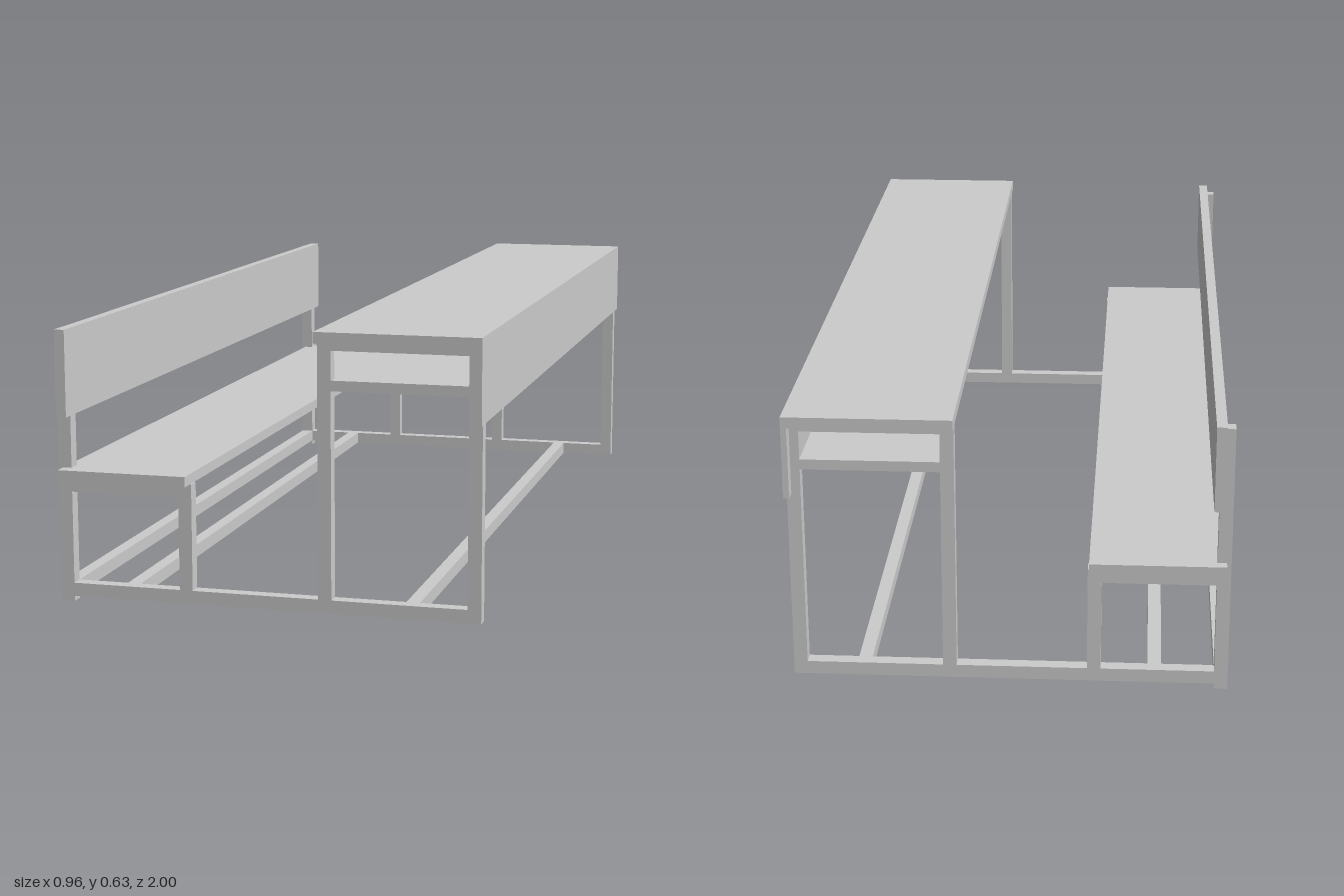
import * as THREE from 'three';

const material = new THREE.MeshStandardMaterial({ color: 0xcccccc, flatShading: true });

// Box given by its extents along each axis
function bar(parent, name, [x0, x1], [y0, y1], [z0, z1]) {
  const mesh = new THREE.Mesh(new THREE.BoxGeometry(x1 - x0, y1 - y0, z1 - z0), material);
  mesh.name = name;
  mesh.position.set((x0 + x1) / 2, (y0 + y1) / 2, (z0 + z1) / 2);
  parent.add(mesh);
}

// One end frame of square tube carrying both the bench and the desk
function endFrame(name, z) {
  const frame = new THREE.Group();
  frame.name = name;
  bar(frame, 'backPost', [-0.481, -0.451], [0, 0.613], z);
  bar(frame, 'seatFrontPost', [-0.202, -0.172], [0.042, 0.25], z);
  bar(frame, 'deskRearPost', [0.115, 0.145], [0.042, 0.605], z);
  bar(frame, 'deskFrontPost', [0.446, 0.476], [0.012, 0.605], z);
  bar(frame, 'floorRail', [-0.451, 0.446], [0.012, 0.042], z);
  bar(frame, 'seatRail', [-0.451, -0.172], [0.25, 0.281], z);
  bar(frame, 'deskRail', [0.145, 0.446], [0.588, 0.605], z);
  return frame;
}

export function createModel() {
  const model = new THREE.Group();
  model.name = 'schoolBenchDesk';

  // End frames
  const nearEnd = [0.92, 0.95], farEnd = [-0.97, -0.94];
  model.add(endFrame('nearEndFrame', nearEnd), endFrame('farEndFrame', farEnd));

  // Long stretchers near the floor
  for (const x of [-0.466, -0.32, 0.32]) {
    bar(model, 'stretcher', [x - 0.015, x + 0.015], [0.012, 0.042], [farEnd[1], nearEnd[0]]);
  }

  // Bench boards
  bar(model, 'seat', [-0.471, -0.175], [0.281, 0.304], [-0.993, 0.982]);
  bar(model, 'backrest', [-0.463, -0.44], [0.426, 0.619], [-0.978, 1]);

  // Desk boards
  bar(model, 'deskTop', [0.114, 0.479], [0.606, 0.631], [-1, 0.977]);
  bar(model, 'frontPanel', [0.466, 0.479], [0.445, 0.606], [-1, 0.977]);
  bar(model, 'shelf', [0.145, 0.446], [0.501, 0.524], [-0.97, 0.95]);

  return model;
}
